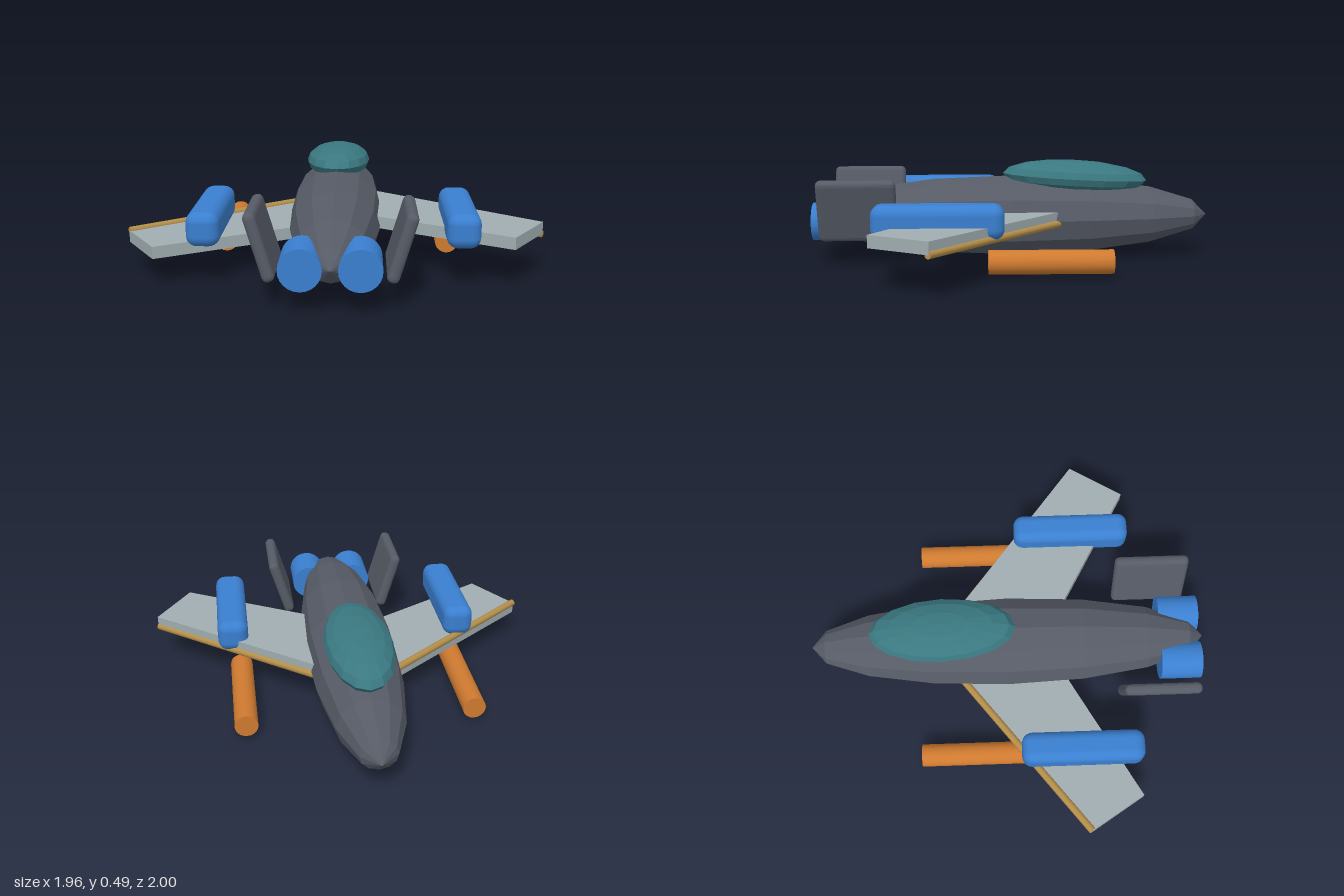
import * as THREE from 'three';
import { RoundedBoxGeometry } from 'three/addons/geometries/RoundedBoxGeometry.js';

const material = (name, color, flatShading = false) => {
  const m = new THREE.MeshStandardMaterial({ color, flatShading });
  m.name = name;
  return m;
};

export function createModel() {
  const model = new THREE.Group();
  model.name = 'spacecraft';
  const hull = material('dark hull grey', 0x565b66, true);
  const glass = material('teal glass', 0x3a7880, true);
  const blue = material('blue', 0x3a7fd0);
  const orange = material('orange', 0xcf7a30);
  const wingGrey = material('light wing grey', 0xa0adb0, true);
  const brass = material('brass trim', 0xb58f4a);

  const add = (name, geometry, mat, x, y, z) => {
    const mesh = new THREE.Mesh(geometry, mat);
    mesh.name = name;
    mesh.position.set(x, y, z);
    model.add(mesh);
    return mesh;
  };

  // Faceted fuselage with its poles at nose and tail
  const body = new THREE.SphereGeometry(1, 12, 8).rotateX(Math.PI / 2).scale(0.228, 0.203, 1);
  add('fuselage', body, hull, 0, 0.212, 0);

  // Canopy, tipped slightly towards the nose
  const dome = new THREE.SphereGeometry(1, 16, 8).scale(0.165, 0.085, 0.365);
  add('canopy', dome, glass, 0, 0.408, -0.325).rotation.x = -0.055;

  const engine = new THREE.CylinderGeometry(0.093, 0.093, 0.205, 24).rotateX(Math.PI / 2);
  const cannon = new THREE.CylinderGeometry(0.056, 0.056, 0.57, 20).rotateX(Math.PI / 2);
  const pod = new RoundedBoxGeometry(0.153, 0.16, 0.595, 3, 0.05);
  const fin = new RoundedBoxGeometry(0.055, 0.31, 0.375, 2, 0.025);
  const wingDepth = 0.057;

  for (const side of [1, -1]) {
    const prefix = side > 0 ? 'left' : 'right';

    // Swept wing: one lies above the trim line, the other below it
    const outline = [[0.19, -0.235], [0.975, 0.37], [0.808, 0.637], [0.19, 0.29]];
    const shape = new THREE.Shape(outline.map(([x, z]) => new THREE.Vector2(side * x, z)));
    const wing = new THREE.ExtrudeGeometry(shape, { depth: wingDepth, bevelEnabled: false });
    wing.rotateX(Math.PI / 2);
    add(prefix + 'Wing', wing, wingGrey, 0, side > 0 ? 0.198 + wingDepth : 0.198, 0);

    // Brass rod along the leading edge
    const rodLength = Math.hypot(0.775, 0.605);
    const rod = new THREE.CylinderGeometry(0.018, 0.018, rodLength, 10).rotateX(Math.PI / 2);
    add(prefix + 'LeadingEdge', rod, brass, side * 0.583, 0.198, 0.072)
      .rotation.y = side * Math.atan2(0.775, 0.605);

    add(prefix + 'Pod', pod, blue, side * 0.584, 0.273, 0.348);
    add(prefix + 'Cannon', cannon, orange, side * 0.55, 0.08, -0.162);
    add(prefix + 'Engine', engine, blue, side * 0.126, 0.205, 0.873);
    add(prefix + 'TailFin', fin, hull, side * 0.3, 0.281, 0.742).rotation.z = -side * 0.29;
  }
  return model;
}
